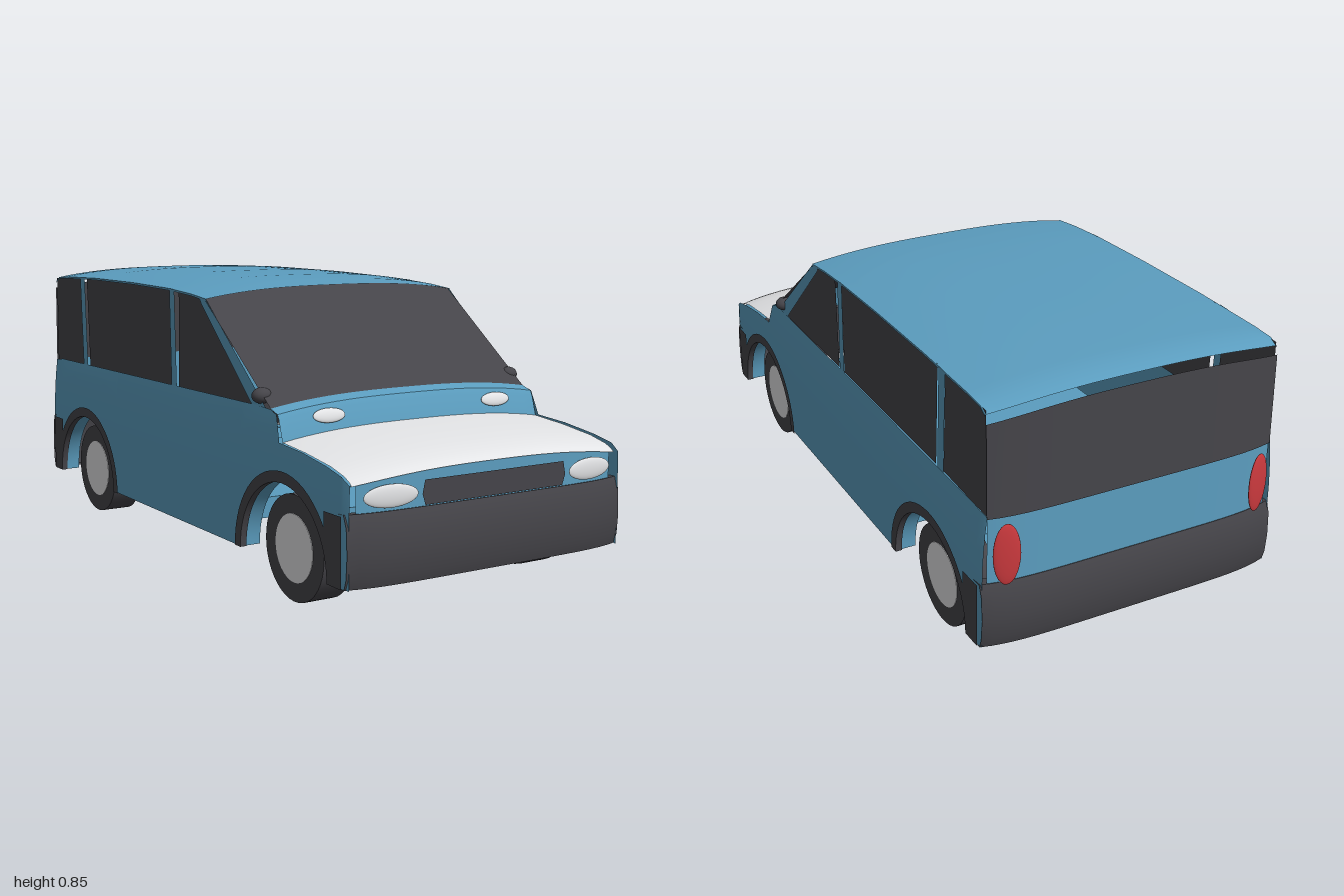
import * as THREE from 'three';
import { toCreasedNormals } from 'three/addons/utils/BufferGeometryUtils.js';

const mat = (name, color) => new THREE.MeshStandardMaterial({ name, color, side: THREE.DoubleSide });
const clamp01 = (t) => Math.min(1, Math.max(0, t));

export function createModel() {
  const car = new THREE.Group();
  car.name = 'van';
  const blue = mat('bodyBlue', 0x5b9dbf);
  const dark = mat('darkTrim', 0x454449);
  const silver = mat('silver', 0xe2e3e5);
  const red = mat('tailRed', 0xcc3a3e);

  const add = (name, geo, m, x = 0, y = 0, z = 0) => {
    const mesh = new THREE.Mesh(geo, m);
    mesh.name = name;
    mesh.position.set(x, y, z);
    car.add(mesh);
    return mesh;
  };

  // Grid surface: fn(i, j) returns [x, y, z]
  const patch = (nu, nv, fn) => {
    const pos = [], idx = [];
    for (let i = 0; i <= nu; i++) for (let j = 0; j <= nv; j++) pos.push(...fn(i, j));
    for (let i = 0; i < nu; i++) for (let j = 0; j < nv; j++) {
      const a = i * (nv + 1) + j, b = a + nv + 1;
      idx.push(a, b, a + 1, b, b + 1, a + 1);
    }
    const geo = new THREE.BufferGeometry();
    geo.setAttribute('position', new THREE.Float32BufferAttribute(pos, 3));
    geo.setIndex(idx);
    return toCreasedNormals(geo, 0.6);
  };

  // Shared body rules: crown across the width, rounded plan corners, bulging flanks
  const crown = (x) => 0.028 * Math.pow(Math.abs(x) / 0.45, 2.7);
  const endZ = (x) => 0.985 - 0.02 * Math.pow(Math.abs(x) / 0.45, 6);
  const sideX = (z, y) => 0.467 - 0.017 * clamp01((y - 0.3) / 0.23) ** 2
    - 0.008 * clamp01((Math.abs(z) - 0.93) / 0.05) ** 2;

  // Crowned panel swept along a [z, y] profile, with an optional side skirt
  const crossing = (name, profile, m, skirt = 0) => {
    const n = 24, last = n + 2;
    add(name, patch(last, profile.length - 1, (i, j) => {
      const x = (Math.min(n, Math.max(0, i - 1)) / n - 0.5) * 0.9;
      const [z, y] = profile[j];
      const fade = clamp01((Math.abs(z) - 0.9) / 0.085);
      const drop = i === 0 || i === last ? skirt : 0;
      return [x, y - crown(x) - drop, z - Math.sign(z) * fade * (0.985 - endZ(x))];
    }), m);
  };
  crossing('roof', [[0.2, 0.828], [0.1, 0.838], [-0.05, 0.846], [-0.3, 0.85], [-0.6, 0.849],
    [-0.85, 0.842], [-0.93, 0.837], [-0.965, 0.822]], blue, 0.006);
  crossing('windshield', [[0.57, 0.551], [0.19, 0.828]], dark);
  crossing('cowl', [[0.565, 0.553], [0.605, 0.54], [0.613, 0.526], [0.635, 0.455]], blue);
  crossing('hood', [[0.632, 0.467], [0.75, 0.457], [0.87, 0.441], [0.94, 0.426], [0.972, 0.414], [0.985, 0.405]], silver);

  // Shallow oval lamp, turned to follow the panel behind it
  const lamp = (name, x, y, z, rx, ry, m, turn, lean = 0) => {
    const mesh = add(name, new THREE.SphereGeometry(1, 28, 14), m, x, y, z);
    mesh.scale.set(rx, ry, 0.008);
    mesh.rotation.set(lean, turn, 0);
  };

  // Upright panels at both ends
  const upright = (name, sign, halfW, y0, y1, m, lift = 0, crowned = 0) =>
    add(name, patch(24, 1, (i, j) => {
      const x = (i / 12 - 1) * halfW;
      return [x, (j ? y1 : y0) - crown(x) * (j ? crowned : 0), sign * (endZ(x) + lift)];
    }), m);
  upright('frontPanel', 1, 0.435, 0.3, 0.405, blue, -0.008, 1);
  upright('tailgate', -1, 0.448, 0.29, 0.505, blue, -0.006);

  // Grille with clipped corners
  const grille = new THREE.Shape([[-0.235, 0.31], [0.235, 0.31], [0.245, 0.34], [0.237, 0.377], [-0.237, 0.377], [-0.245, 0.34]]
    .map(([x, y]) => new THREE.Vector2(x, y)));
  add('grille', new THREE.ShapeGeometry(grille), dark, 0, 0, 0.988);

  add('rearWindow', patch(24, 2, (i, j) => {
    const x = (i / 12 - 1) * 0.45;
    return [x, [0.5, 0.65, 0.797][j] - crown(x) * j / 2, -(endZ(x) - 0.003 - 0.003 * j)];
  }), dark);

  // Bumpers: [y, depth] section swept across the width
  const bumperProfile = [[0.303, -0.035], [0.305, -0.004], [0.27, 0.009], [0.2, 0.013], [0.14, 0.009], [0.11, 0], [0.11, -0.035]];
  for (const sign of [1, -1]) {
    add(sign > 0 ? 'frontBumper' : 'rearBumper', patch(28, bumperProfile.length - 1, (i, j) => {
      const x = (i / 14 - 1) * 0.468, [y, d] = bumperProfile[j];
      return [x, y, sign * (endZ(x) + d)];
    }), dark);
  }

  // Flank outline: columns along z, arches cut from below, top follows the beltline
  const AXLE = 0.66, ARCH = 0.24, SILL = 0.11;
  const topLine = [[-0.964, 0.508], [-0.9, 0.515], [0.5, 0.525], [0.57, 0.522], [0.605, 0.512],
    [0.632, 0.44], [0.75, 0.432], [0.87, 0.415], [0.94, 0.4], [0.972, 0.38]];
  const topAt = (z) => {
    const k = Math.max(1, topLine.findIndex((p) => p[0] >= z - 1e-6));
    const [a, b] = [topLine[k - 1], topLine[k]];
    return a[1] + (b[1] - a[1]) * (z - a[0]) / (b[0] - a[0]);
  };
  const bottomAt = (z) => {
    const d = Math.abs(Math.abs(z) - AXLE);
    return d < ARCH ? SILL + Math.sqrt(ARCH * ARCH - d * d) : SILL;
  };
  const columns = topLine.map((p) => p[0]).concat([-0.95, -0.93, 0.93, 0.95, 0, -0.2, 0.2]);
  for (const s of [1, -1]) {
    for (let i = 0; i <= 28; i++) columns.push(s * AXLE + ARCH * Math.cos(i / 28 * Math.PI));
    columns.push(s * (AXLE + ARCH + 0.0005), s * (AXLE - ARCH - 0.0005));
  }
  columns.sort((a, b) => a - b);

  // Flat side plate from [z, y] corners
  const plate = (name, side, points, m, x) => {
    const geo = new THREE.ShapeGeometry(new THREE.Shape(points.map(([z, y]) => new THREE.Vector2(-z, y))));
    geo.rotateY(Math.PI / 2);
    add(name, geo, m, side * x);
  };

  for (const side of [1, -1]) {
    const tag = side > 0 ? 'left' : 'right';
    add(tag + 'Flank', patch(columns.length - 1, 8, (i, j) => {
      const z = columns[i], lo = bottomAt(z), y = lo + (topAt(z) - lo) * j / 8;
      return [side * sideX(z, y), y, z];
    }), blue);

    // Side glass and pillars
    plate(tag + 'FrontWindow', side, [[0.475, 0.52], [0.18, 0.782], [0.16, 0.802], [0.02, 0.814], [0.015, 0.52]], dark, 0.447);
    plate(tag + 'MiddleWindow', side, [[-0.025, 0.52], [-0.03, 0.818], [-0.68, 0.82], [-0.665, 0.515]], dark, 0.447);
    plate(tag + 'RearWindow', side, [[-0.71, 0.515], [-0.725, 0.818], [-0.95, 0.805], [-0.955, 0.505]], dark, 0.447);
    plate(tag + 'WindshieldPillar', side, [[0.545, 0.52], [0.2, 0.798], [0.155, 0.803], [0.17, 0.782], [0.465, 0.522]], blue, 0.449);
    plate(tag + 'DoorPillar', side, [[0.005, 0.51], [-0.005, 0.816], [-0.038, 0.818], [-0.03, 0.51]], blue, 0.45);
    plate(tag + 'RearPillar', side, [[-0.678, 0.51], [-0.692, 0.82], [-0.73, 0.818], [-0.715, 0.51]], blue, 0.45);

    // Mirror
    const mirror = add(tag + 'Mirror', new THREE.SphereGeometry(1, 16, 10), dark, side * 0.442, 0.552, 0.508);
    mirror.scale.set(0.03, 0.023, 0.026);

    // Lamps
    lamp(tag + 'Headlight', side * 0.34, 0.345, 0.982, 0.082, 0.031, silver, side * 0.08);
    lamp(tag + 'CowlLight', side * 0.295, 0.5, 0.624, 0.053, 0.021, silver, 0, -0.35);
    lamp(tag + 'TailLight', side * 0.402, 0.395, -0.984, 0.038, 0.092, red, -side * 0.24);

    for (const end of [1, -1]) {
      const where = tag + (end > 0 ? 'Front' : 'Rear');
      // Wheel arch flare with an inner lip
      add(where + 'ArchFlare', patch(28, 2, (i, j) => {
        const a = i / 28 * Math.PI, r = [0.225, 0.225, 0.257][j];
        const y = SILL + r * Math.sin(a), z = end * (AXLE + r * Math.cos(a));
        return [side * (j ? sideX(z, y) + 0.005 : 0.452), y, z];
      }), dark);
      add(where + 'ArchLip', patch(28, 1, (i, j) => {
        const a = i / 28 * Math.PI;
        return [side * (j ? 0.458 : 0.405), SILL + 0.23 * Math.sin(a), end * (AXLE + 0.23 * Math.cos(a))];
      }), blue);
      // Bumper corner on the flank
      add(where + 'BumperCorner', patch(6, 6, (i, j) => {
        const y = SILL + 0.19 * j / 6;
        const inner = Math.max(0.87, AXLE + Math.sqrt(0.24 ** 2 - (y - SILL) ** 2));
        const z = end * (inner + (0.95 - inner) * i / 6);
        return [side * (sideX(z, y) + 0.005), y, z];
      }), dark);
      // Wheel
      const tyre = new THREE.CylinderGeometry(0.15, 0.15, 0.097, 40).rotateZ(Math.PI / 2);
      add(where + 'Tyre', tyre, dark, side * 0.3825, 0.15, end * AXLE);
      const hub = new THREE.CylinderGeometry(0.096, 0.096, 0.1, 32).rotateZ(Math.PI / 2);
      add(where + 'Hub', hub, silver, side * 0.3825, 0.15, end * AXLE);
      // Chassis rail
      add(where + 'Rail', new THREE.BoxGeometry(0.03, 0.06, 0.3), blue, side * 0.3, 0.21, end * 0.73);
    }
  }

  // Floor
  add('floor', new THREE.BoxGeometry(0.88, 0.06, 0.84), blue, 0, 0.21, 0);
  add('floorExtension', new THREE.BoxGeometry(0.64, 0.056, 1.3), blue, 0, 0.21, 0);
  return car;
}
